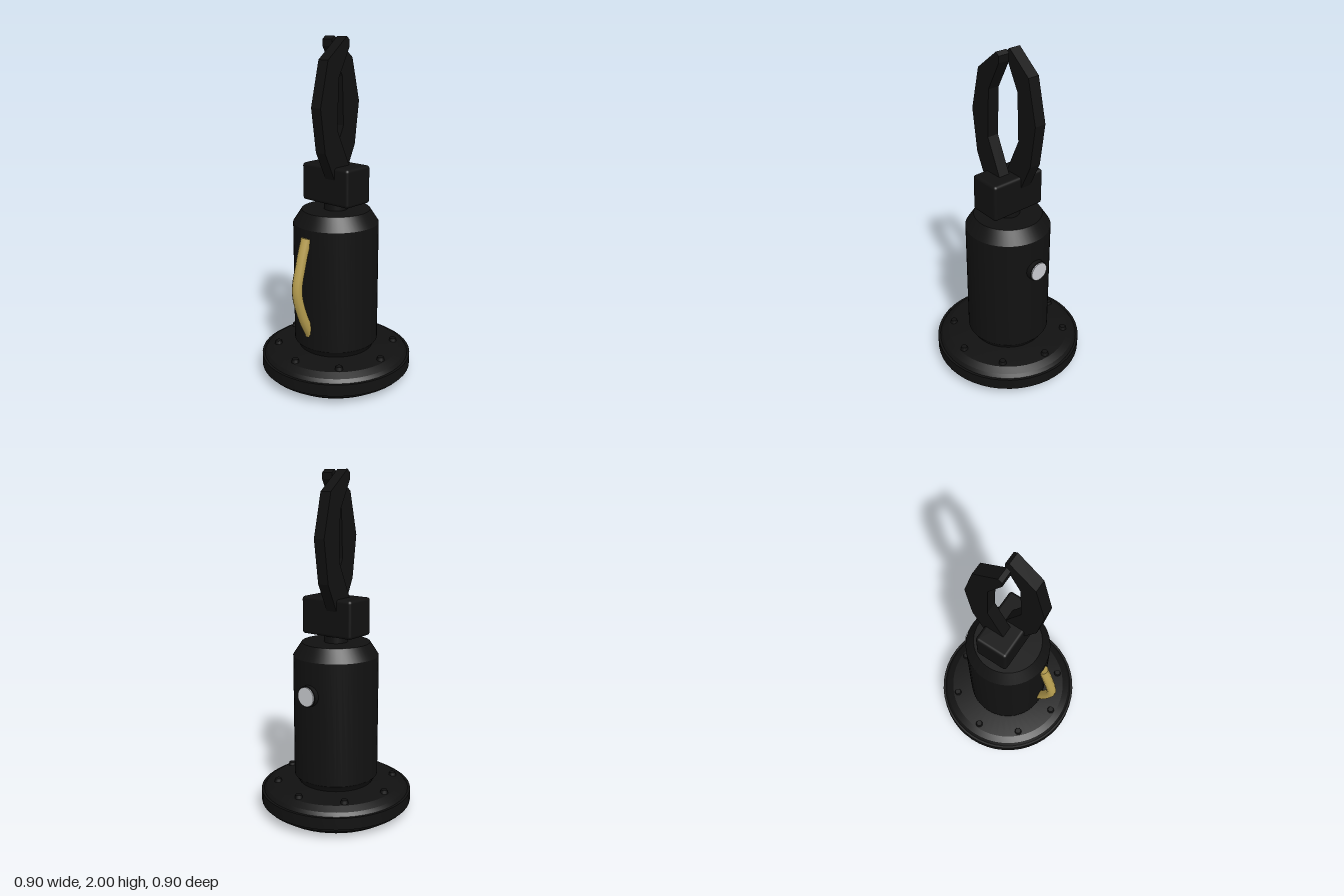
import * as THREE from 'three';
import { toCreasedNormals } from 'three/addons/utils/BufferGeometryUtils.js';
import { RoundedBoxGeometry } from 'three/addons/geometries/RoundedBoxGeometry.js';

export function createModel() {
  const model = new THREE.Group();
  model.name = 'gripper';

  const black = new THREE.MeshStandardMaterial({ color: 0x111111 });
  black.name = 'black metal';
  const brass = new THREE.MeshStandardMaterial({ color: 0xb89f50 });
  brass.name = 'brass cable';
  const silver = new THREE.MeshStandardMaterial({ color: 0xc8cacf });
  silver.name = 'silver cap';

  const add = (name, geometry, material, x = 0, y = 0, z = 0) => {
    const mesh = new THREE.Mesh(geometry, material);
    mesh.name = name;
    mesh.position.set(x, y, z);
    model.add(mesh);
    return mesh;
  };
  const lathe = (points) => toCreasedNormals(
    new THREE.LatheGeometry(points.map(([r, y]) => new THREE.Vector2(r, y)), 48), 0.4);

  // Bevelled flange with a raised rim band
  add('baseFlange', lathe([
    [0, 0], [0.37, 0], [0.43, 0.04], [0.435, 0.06], [0.45, 0.06], [0.45, 0.13],
    [0.435, 0.13], [0.42, 0.15], [0.38, 0.172], [0.25, 0.185], [0, 0.185],
  ]), black);

  // Ring of bolts on the flange
  for (let i = 0; i < 8; i++) {
    const a = (i * Math.PI) / 4;
    add('flangeBolt', new THREE.CylinderGeometry(0.018, 0.026, 0.03, 12), black,
      0.35 * Math.cos(a), 0.179, 0.35 * Math.sin(a));
  }

  // Body with chamfered ends, and the wrist shaft above it
  add('body', lathe([
    [0, 0.17], [0.22, 0.17], [0.225, 0.19], [0.25, 0.225], [0.25, 0.95],
    [0.2, 1.027], [0, 1.027],
  ]), black);
  add('wristShaft', new THREE.CylinderGeometry(0.07, 0.07, 0.08, 32), black, 0, 1.05, 0);
  add('wristBlock', new RoundedBoxGeometry(0.2, 0.22, 0.35, 3, 0.018), black, 0, 1.18, 0);

  // Two overlapping jaws, the second turned half round
  const jawShape = new THREE.Shape([
    [-0.022, 1.2], [0.09, 1.2], [0.175, 1.38], [0.21, 1.63], [0.15, 1.88], [0, 2],
    [-0.022, 1.982], [-0.022, 1.945], [0.065, 1.78], [0.075, 1.5], [-0.022, 1.29],
  ].map(([x, y]) => new THREE.Vector2(x, y)));
  const jawGeometry = new THREE.ExtrudeGeometry(jawShape, { depth: 0.07, bevelEnabled: false });
  jawGeometry.translate(0, 0, -0.08);
  add('leftJaw', jawGeometry, black);
  add('rightJaw', jawGeometry, black).rotation.y = Math.PI;

  // Side connector with a bright cap
  add('connector', new THREE.CylinderGeometry(0.062, 0.062, 0.055, 32), black, 0.2475, 0.755, 0)
    .rotation.z = -Math.PI / 2;
  add('connectorCap', new THREE.CylinderGeometry(0.056, 0.056, 0.007, 32), silver, 0.2785, 0.755, 0)
    .rotation.z = -Math.PI / 2;

  // Cable bowing out from the opposite side
  const path = new THREE.CatmullRomCurve3([
    [-0.25, 0.9], [-0.293, 0.76], [-0.327, 0.6], [-0.287, 0.44], [-0.225, 0.31],
  ].map(([x, y]) => new THREE.Vector3(x, y, 0)));
  add('cable', new THREE.TubeGeometry(path, 24, 0.03, 10), brass);
  // Closed upper end of the cable
  const end = add('cableEnd', new THREE.CircleGeometry(0.03, 10), brass, -0.25, 0.9, 0);
  end.lookAt(path.getPoint(0).sub(path.getTangent(0)));

  return model;
}
